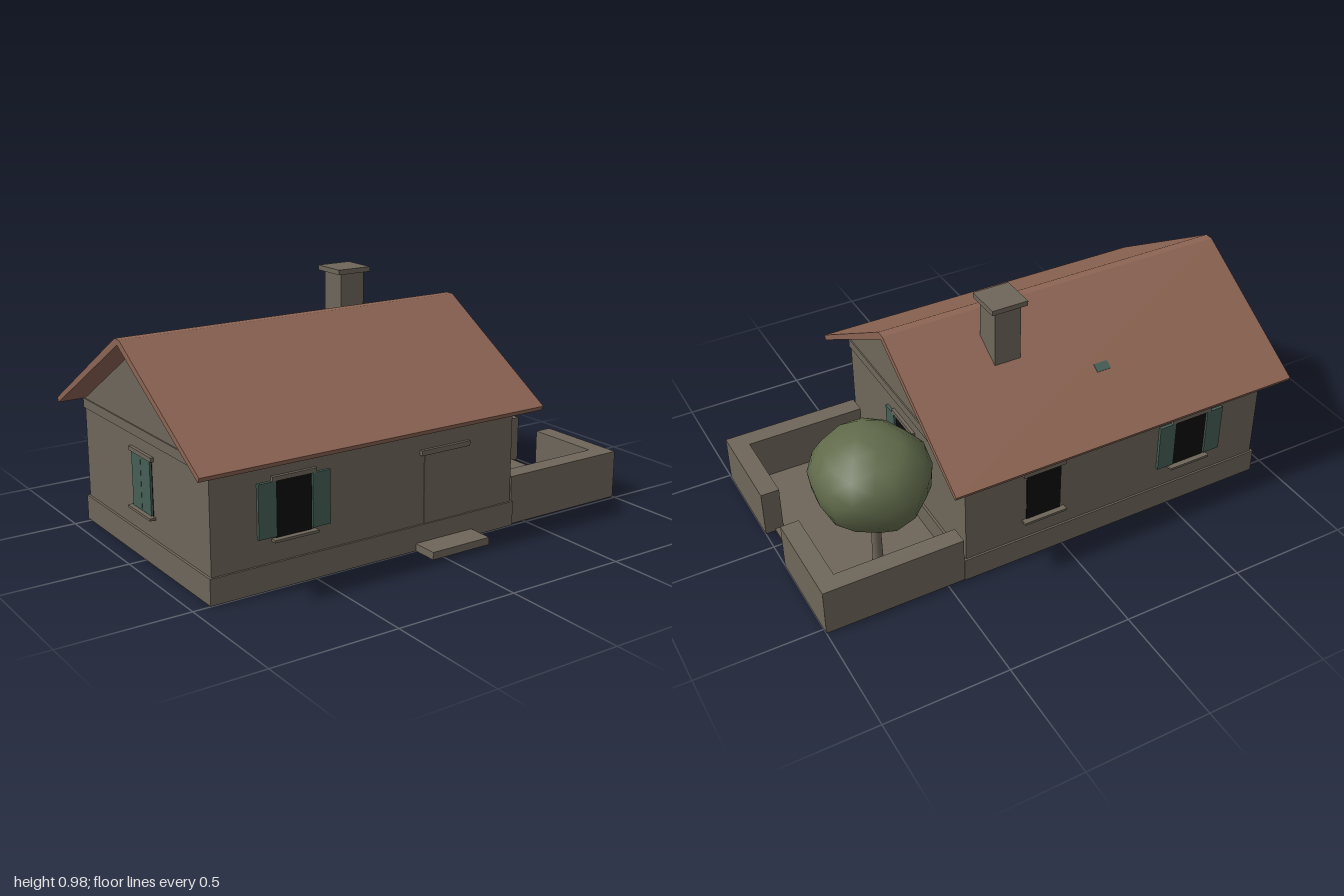
import * as THREE from 'three';
import { mergeVertices } from 'three/addons/utils/BufferGeometryUtils.js';

const mat = (name, color) => {
  const m = new THREE.MeshStandardMaterial({ color });
  m.name = name;
  return m;
};

export function createModel() {
  const stone = mat('stone', 0x6e665a);
  const tile = mat('roofTile', 0x8c6453);
  const green = mat('shutterGreen', 0x465f56);
  const dark = mat('darkGlass', 0x0b0b0b);
  const leaf = mat('foliage', 0x616b4b);

  const model = new THREE.Group();
  model.name = 'cottage';
  const CX = -0.25, CZ = -0.015; // centre of the house

  // box given by its min and max along each axis
  const box = (name, m, x0, x1, y0, y1, z0, z1, parent = model) => {
    const mesh = new THREE.Mesh(new THREE.BoxGeometry(x1 - x0, y1 - y0, z1 - z0), m);
    mesh.position.set((x0 + x1) / 2, (y0 + y1) / 2, (z0 + z1) / 2);
    mesh.name = name;
    parent.add(mesh);
    return mesh;
  };
  // box centred on the house
  const houseBox = (name, hx, hz, y0, y1) =>
    box(name, stone, CX - hx, CX + hx, y0, y1, CZ - hz, CZ + hz);

  // profile of [z offset, y] points swept along x
  const sweep = (name, m, pts, x0, x1) => {
    const shape = new THREE.Shape(pts.map(([z, y]) => new THREE.Vector2(-z, y)));
    const geo = new THREE.ExtrudeGeometry(shape, { depth: x1 - x0, bevelEnabled: false });
    geo.rotateY(Math.PI / 2);
    const mesh = new THREE.Mesh(geo, m);
    mesh.position.set(x0, 0, CZ);
    mesh.name = name;
    model.add(mesh);
  };

  // house body
  houseBox('plinth', 0.68, 0.513, 0, 0.1);
  houseBox('walls', 0.67, 0.505, 0.1, 0.47);
  houseBox('wallPlate', 0.675, 0.512, 0.467, 0.505);
  sweep('gable', stone, [[0.505, 0.505], [0, 0.81], [-0.505, 0.505]], -0.92, 0.42);

  // roof
  const half = [[0.582, 0.482], [0.592, 0.5], [0.018, 0.85]];
  const mirrored = half.map(([z, y]) => [-z, y]).reverse();
  sweep('roof', tile, [...half, ...mirrored, [0, 0.828]], -1, 0.5);

  // small plate lying on the rear slope
  const plate = new THREE.Mesh(new THREE.BoxGeometry(0.06, 0.004, 0.035), green);
  plate.position.set(-0.265, 0.653, -0.355);
  plate.rotation.x = -Math.atan(0.61);
  plate.name = 'roofPlate';
  model.add(plate);

  // chimney
  box('chimney', stone, 0.03, 0.14, 0.6, 0.96, -0.24, -0.125);
  box('chimneyCap', stone, 0.01, 0.16, 0.96, 0.98, -0.257, -0.108);

  // window facing +z locally; shutters: 'open', 'closed' or 'none'
  const addWindow = (name, x, z, turn, shutters) => {
    const g = new THREE.Group();
    g.name = name;
    box('glass', dark, -0.075, 0.075, 0.19, 0.403, -0.005, 0.003, g);
    box('lintel', stone, -0.092, 0.092, 0.403, 0.42, -0.01, 0.013, g);
    box('sill', stone, -0.092, 0.092, 0.18, 0.19, -0.01, 0.025, g);
    if (shutters === 'open') {
      for (const s of [-1, 1]) {
        box('shutter', green, s * 0.112 - 0.037, s * 0.112 + 0.037, 0.198, 0.403, 0, 0.012, g);
      }
    } else if (shutters === 'closed') {
      for (const s of [-1, 1]) {
        box('shutter', green, s * 0.038 - 0.037, s * 0.038 + 0.037, 0.192, 0.403, 0, 0.01, g);
      }
    }
    g.position.set(x, 0, z);
    g.rotation.y = turn;
    model.add(g);
  };
  addWindow('frontWindow', -0.587, CZ + 0.505, 0, 'open');
  addWindow('backWindow', -0.587, CZ - 0.505, Math.PI, 'open');
  addWindow('smallBackWindow', 0.085, CZ - 0.505, Math.PI, 'none');
  addWindow('leftWindow', CX + 0.67, CZ, Math.PI / 2, 'open');
  addWindow('rightWindow', CX - 0.67, CZ, -Math.PI / 2, 'closed');

  // front door
  box('door', stone, -0.01, 0.18, 0.1, 0.375, 0.485, 0.493);
  box('doorLintel', stone, -0.03, 0.2, 0.375, 0.395, 0.48, 0.503);
  box('doorStep', stone, -0.05, 0.22, 0, 0.03, 0.49, 0.605);

  // walled yard with an opening on the outer side
  box('yardFloor', stone, 0.42, 0.96, 0, 0.01, -0.52, 0.48);
  box('yardFrontWall', stone, 0.43, 1, 0, 0.2, 0.41, 0.486);
  box('yardBackWall', stone, 0.43, 1, 0, 0.2, -0.524, -0.45);
  box('yardOuterWall', stone, 0.925, 1, 0, 0.2, 0.085, 0.41);
  box('yardOuterWall', stone, 0.925, 1, 0, 0.2, -0.45, -0.118);

  // tree
  const trunk = new THREE.Mesh(new THREE.CylinderGeometry(0.018, 0.023, 0.3, 8), stone);
  trunk.position.set(0.675, 0.155, -0.27);
  trunk.name = 'treeTrunk';
  model.add(trunk);

  let crown = new THREE.IcosahedronGeometry(1, 2);
  crown.deleteAttribute('uv');
  crown.deleteAttribute('normal');
  crown = mergeVertices(crown, 1e-3);
  const p = crown.attributes.position;
  const v = new THREE.Vector3();
  for (let i = 0; i < p.count; i++) {
    v.fromBufferAttribute(p, i);
    const bump = 0.97 + 0.05 * Math.sin(5.1 * v.x + 2.3 * v.y) * Math.cos(4.3 * v.z - 1.7 * v.y);
    p.setXYZ(i, v.x * bump * 0.235, v.y * bump * 0.2, v.z * bump * 0.25);
  }
  crown.computeVertexNormals();
  const crownMesh = new THREE.Mesh(crown, leaf);
  crownMesh.position.set(0.68, 0.435, -0.268);
  crownMesh.name = 'treeCrown';
  model.add(crownMesh);

  return model;
}
